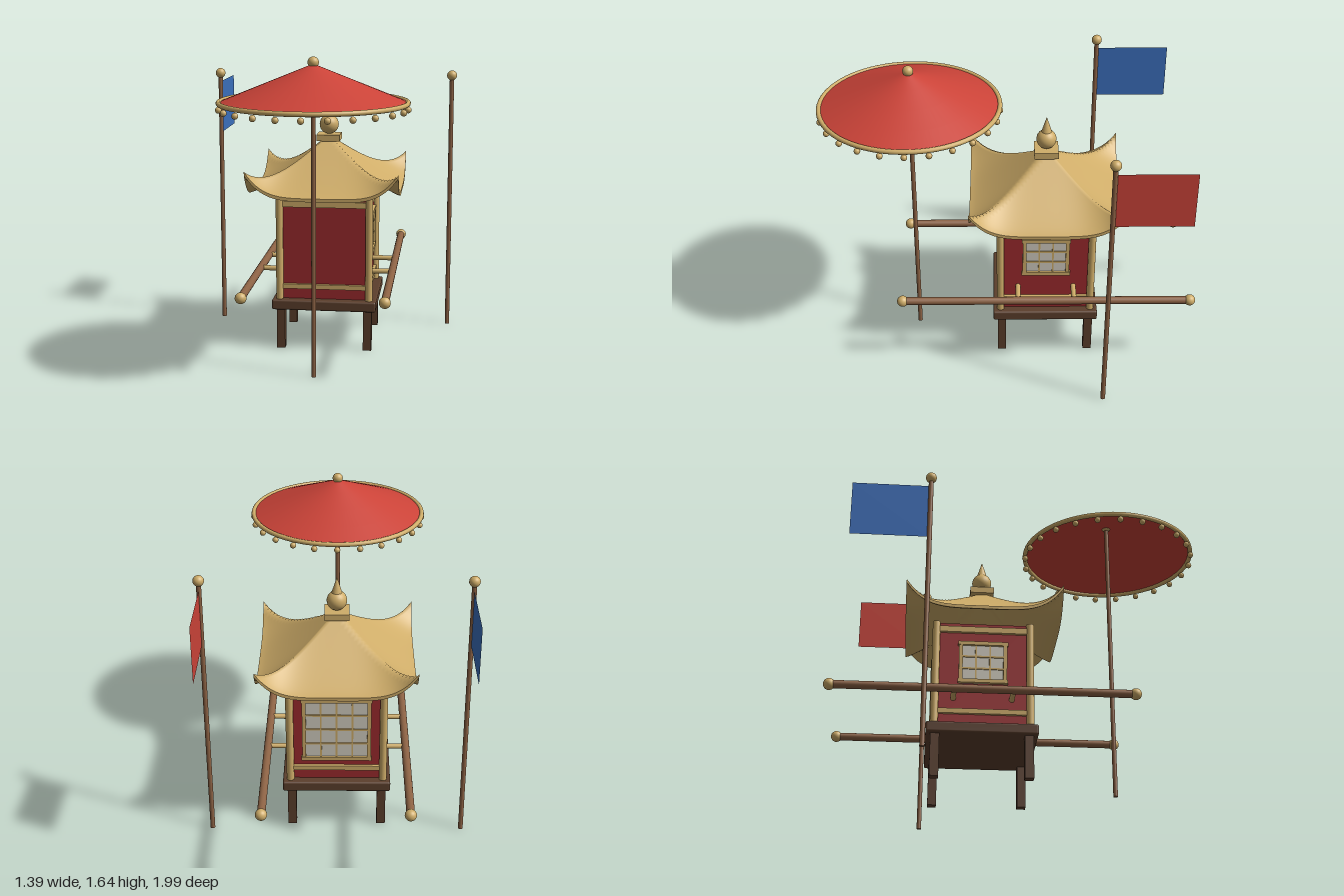
import * as THREE from 'three';
import { RoundedBoxGeometry } from 'three/addons/geometries/RoundedBoxGeometry.js';

const mat = (name, color, side = THREE.FrontSide) => {
  const m = new THREE.MeshStandardMaterial({ color, side });
  m.name = name;
  return m;
};

export function createModel() {
  const gold = mat('gold', 0xcfad69);
  const crimson = mat('crimson lacquer', 0x9b2a2d);
  const red = mat('red cloth', 0xcb4338, THREE.DoubleSide);
  const blue = mat('blue cloth', 0x3b70bd, THREE.DoubleSide);
  const wood = mat('pole wood', 0x8c6244);
  const darkWood = mat('dark wood', 0x5c3f2c);
  const paper = mat('window paper', 0xd2cdc0);

  const model = new THREE.Group();
  model.name = 'sedanChair';

  const add = (parent, name, geo, material, x = 0, y = 0, z = 0) => {
    const m = new THREE.Mesh(geo, material);
    m.name = name;
    m.position.set(x, y, z);
    parent.add(m);
    return m;
  };
  const group = (name, x = 0, y = 0, z = 0, parent = model) => {
    const g = new THREE.Group();
    g.name = name;
    g.position.set(x, y, z);
    parent.add(g);
    return g;
  };
  const box = (w, h, d) => new THREE.BoxGeometry(w, h, d);
  const rod = (r, h) => new THREE.CylinderGeometry(r, r, h, 20);
  const ball = (r) => new THREE.SphereGeometry(r, 24, 16);

  // Cabin: base, legs, walls, corner posts
  const cabin = group('cabin', 0, 0, -0.2);
  add(cabin, 'base', new RoundedBoxGeometry(0.57, 0.056, 0.57, 3, 0.01), darkWood, 0, 0.252, 0);
  add(cabin, 'walls', box(0.47, 0.57, 0.47), crimson, 0, 0.564, 0);
  for (const sx of [-1, 1]) for (const sz of [-1, 1]) {
    add(cabin, 'leg', box(0.046, 0.226, 0.046), darkWood, sx * 0.238, 0.113, sz * 0.238);
    add(cabin, 'cornerPost', rod(0.02, 0.57), gold, sx * 0.245, 0.564, sz * 0.245);
  }

  // Window centred on a wall that faces +z of its group
  const addWindow = (side, w, h, y, n) => {
    const g = group('window', 0, y, 0.235, side);
    add(g, 'pane', box(w, h, 0.008), paper, 0, 0, 0.002);
    for (const s of [-1, 1]) {
      add(g, 'frameRail', box(w + 0.01, 0.02, 0.03), gold, 0, s * (h / 2 - 0.01), 0.005);
      add(g, 'frameStile', box(0.02, h, 0.026), gold, s * (w / 2 - 0.01), 0, 0.005);
    }
    for (let i = 1; i < n; i++) {
      const t = i / n - 0.5;
      add(g, 'verticalBar', box(0.009, h - 0.02, 0.016), gold, t * (w - 0.03), 0, 0.004);
      add(g, 'horizontalBar', box(w - 0.02, 0.009, 0.016), gold, 0, t * (h - 0.03), 0.004);
    }
  };

  // Rails on all four sides, windows on the sides and back
  for (let i = 0; i < 4; i++) {
    const side = group(['frontSide', 'leftSide', 'backSide', 'rightSide'][i], 0, 0, 0, cabin);
    side.rotation.y = i * Math.PI / 2;
    add(side, 'topRail', box(0.47, 0.032, 0.03), gold, 0, 0.81, 0.238);
    add(side, 'bottomRail', box(0.47, 0.026, 0.03), gold, 0, 0.351, 0.238);
    if (i === 2) addWindow(side, 0.36, 0.37, 0.585, 4);
    else if (i) addWindow(side, 0.25, 0.232, 0.625, 3);
  }

  // Roof: a thin slab bent into a concave pyramid with upturned corners
  const half = 0.408;
  const roofY = (x, z) => {
    const a = Math.abs(x), b = Math.abs(z);
    const r = Math.min(1, Math.max(a, b) / half);
    const t = r > 0 ? Math.min(a, b) / Math.max(a, b) : 0;
    return 0.873 + 0.285 * Math.pow(1 - r, 1.22) + 0.137 * Math.pow(r, 4) * Math.pow(t, 4.5);
  };
  const roofGeo = new THREE.BoxGeometry(2 * half, 1, 2 * half, 48, 1, 48);
  const p = roofGeo.attributes.position;
  for (let i = 0; i < p.count; i++) {
    p.setY(i, roofY(p.getX(i), p.getZ(i)) - (p.getY(i) < 0 ? 0.018 : 0));
  }
  roofGeo.computeVertexNormals();
  add(cabin, 'roof', roofGeo, gold);

  // Roof finial
  add(cabin, 'finialBase', box(0.128, 0.035, 0.128), gold, 0, 1.146, 0);
  add(cabin, 'finialBall', ball(0.053), gold, 0, 1.216, 0);
  add(cabin, 'finialSpike', new THREE.ConeGeometry(0.03, 0.095, 24), gold, 0, 1.3, 0);

  // Carrying poles with brackets to the cabin
  for (const s of [-1, 1]) {
    const g = group(s > 0 ? 'leftCarryingPole' : 'rightCarryingPole', s * 0.366, 0.425, -0.2);
    add(g, 'pole', rod(0.021, 1.54), wood).rotation.x = Math.PI / 2;
    for (const e of [-1, 1]) {
      add(g, 'poleKnob', ball(0.03), gold, 0, 0, e * 0.77);
      add(g, 'bracket', rod(0.014, 0.14), gold, -s * 0.07, 0, e * 0.15).rotation.z = Math.PI / 2;
    }
  }

  // Banners behind the cabin
  for (const s of [-1, 1]) {
    const g = group(s > 0 ? 'leftBanner' : 'rightBanner', s * 0.667, 0, -0.5);
    add(g, 'bannerPole', rod(0.0125, 1.45), wood, 0, 0.725, 0);
    add(g, 'bannerKnob', ball(0.028), gold, 0, 1.463, 0);
    add(g, 'flag', new THREE.PlaneGeometry(0.39, 0.298), s > 0 ? red : blue, 0, 1.264, -0.203)
      .rotation.y = Math.PI / 2;
  }

  // Parasol with a beaded rim
  const parasol = group('parasol', 0, 0, 0.51);
  add(parasol, 'parasolPole', rod(0.012, 1.59), wood, 0, 0.795, 0);
  add(parasol, 'canopy', new THREE.ConeGeometry(0.467, 0.19, 64, 4, true), red, 0, 1.515, 0);
  add(parasol, 'canopyRim', new THREE.TorusGeometry(0.467, 0.0125, 12, 72), gold, 0, 1.42, 0)
    .rotation.x = Math.PI / 2;
  add(parasol, 'parasolKnob', ball(0.028), gold, 0, 1.617, 0);
  for (let i = 0; i < 24; i++) {
    const a = i * Math.PI / 12;
    add(parasol, 'bead', new THREE.SphereGeometry(0.0165, 14, 10), gold,
      0.467 * Math.sin(a), 1.389, 0.467 * Math.cos(a));
  }
  return model;
}
